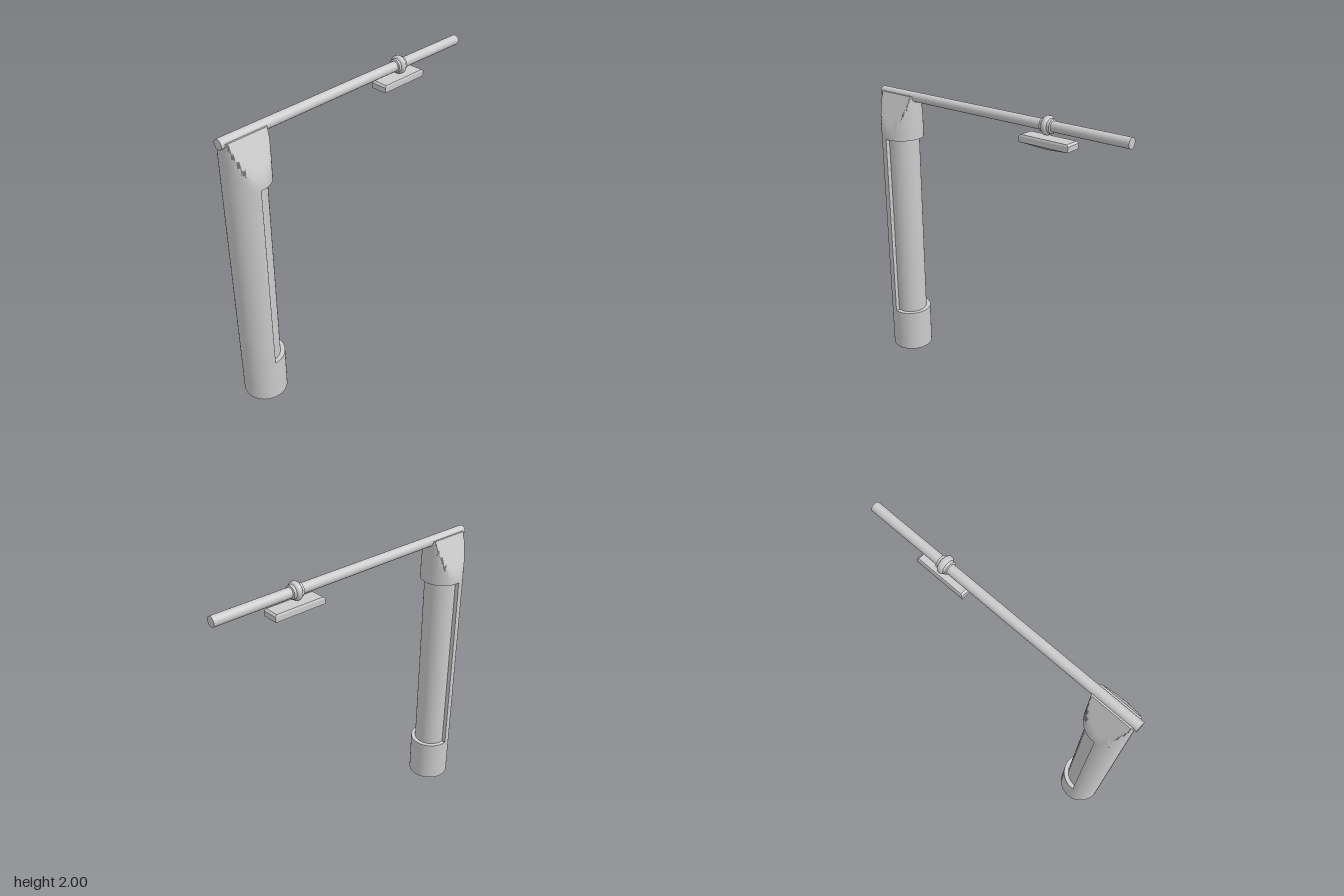
import * as THREE from 'three';
import { toCreasedNormals } from 'three/addons/utils/BufferGeometryUtils.js';

const grey = new THREE.MeshStandardMaterial({ color: 0xcccccc, side: THREE.DoubleSide });
const R = 0.145, INNER = 0.115, AXIS_X = -0.825;   // column
const LOW = 0.31, HIGH = 1.65, TOP = 1.95;         // recess limits and column top
const ARM_Y = 1.943, ARM_R = 0.033;
const CUT = 0.1;                                   // angle of the recess edge behind the axis

function add(parent, name, geometry, x = 0, y = 0, z = 0) {
  const mesh = new THREE.Mesh(geometry, grey);
  mesh.name = name;
  mesh.position.set(x, y, z);
  parent.add(mesh);
  return mesh;
}

// Moves every vertex of a geometry by a rule and keeps real edges sharp
function reshape(geometry, rule, crease = 0.5) {
  const p = geometry.attributes.position, v = new THREE.Vector3();
  for (let i = 0; i < p.count; i++) {
    rule(v.fromBufferAttribute(p, i));
    p.setXYZ(i, v.x, v.y, v.z);
  }
  return toCreasedNormals(geometry, crease);
}

function createColumn() {
  const column = new THREE.Group();
  column.name = 'column';
  column.position.x = AXIS_X;
  const midY = (LOW + HIGH) / 2, midH = HIGH - LOW;

  // Open-bottomed base sleeve, rear half shell and the slimmer core in the recess
  add(column, 'baseSleeve', new THREE.CylinderGeometry(R, R, LOW, 64, 1, true), 0, LOW / 2);
  add(column, 'rearShell', new THREE.CylinderGeometry(R, R, midH, 40, 1, true, Math.PI + CUT, Math.PI - 2 * CUT), 0, midY);
  add(column, 'core', new THREE.CylinderGeometry(INNER, INNER, midH, 64, 1, true), 0, midY);

  // Edges of the rear shell
  for (const side of [-1, 1]) {
    const edge = new THREE.PlaneGeometry(R - INNER, midH).rotateY(Math.PI / 2);
    add(column, 'shellEdge', edge, -R * Math.sin(CUT), midY, side * (R + INNER) / 2);
  }

  // Ledges at both ends of the recess
  for (const [name, y, tilt] of [['lowerLedge', LOW, -1], ['upperLedge', HIGH, 1]]) {
    const ledge = new THREE.RingGeometry(INNER - 0.005, R, 40, 1, -Math.PI / 2 - CUT, Math.PI + 2 * CUT);
    add(column, name, ledge.rotateX(tilt * Math.PI / 2), 0, y);
  }

  // Head: a cylinder cut by two sloping planes, wedge-shaped towards the arm
  const headH = TOP - HIGH;
  const head = new THREE.CylinderGeometry(R, R, headH, 96, 6, true).translate(0, HIGH + headH / 2, 0);
  const halfWidth = y => Math.min(R, THREE.MathUtils.mapLinear(y, 1.7, TOP, R, 0.043));
  const trim = v => { v.z = THREE.MathUtils.clamp(v.z, -halfWidth(v.y), halfWidth(v.y)); };
  add(column, 'head', reshape(head, trim));
  const cap = new THREE.CircleGeometry(R, 96).rotateX(-Math.PI / 2).translate(0, TOP, 0);
  add(column, 'headTop', reshape(cap, trim));
  return column;
}

function createArm() {
  const arm = new THREE.Group();
  arm.name = 'arm';
  arm.position.y = ARM_Y;
  const bar = (name, x0, x1) => add(arm, name,
    new THREE.CylinderGeometry(ARM_R, ARM_R, x1 - x0, 32).rotateZ(-Math.PI / 2), (x0 + x1) / 2);
  bar('mainBar', -0.99, 0.42);
  bar('endBar', 0.42, 0.985);

  // Collar with a rounded bulge in the middle
  const profile = [[ARM_R, -0.04], [0.043, -0.036], [0.045, -0.02], [0.053, -0.016], [0.059, -0.008],
    [0.059, 0.008], [0.053, 0.016], [0.045, 0.02], [0.043, 0.036], [ARM_R, 0.04]];
  const collar = new THREE.LatheGeometry(profile.map(p => new THREE.Vector2(...p)), 32);
  add(arm, 'collar', toCreasedNormals(collar.rotateZ(-Math.PI / 2), 0.7), 0.42);
  return arm;
}

// Slab with bevelled top edges and a shallow pyramidal underside
function createSlab() {
  const rows = [ // y, half length, half depth, from bottom to top
    [1.8, 0.02, 0.015], [1.824, 0.18, 0.055], [1.858, 0.18, 0.055], [1.87, 0.167, 0.05],
  ];
  return reshape(new THREE.BoxGeometry(2, 3, 2, 1, 3, 1), v => {
    const [y, hx, hz] = rows[Math.round(v.y + 1.5)];
    v.set(v.x * hx, y, v.z * hz);
  }, 0.3);
}

export function createModel() {
  const model = new THREE.Group();
  model.name = 'postWithArm';
  model.add(createColumn(), createArm());
  add(model, 'hangingSlab', createSlab(), 0.425);
  return model;
}
